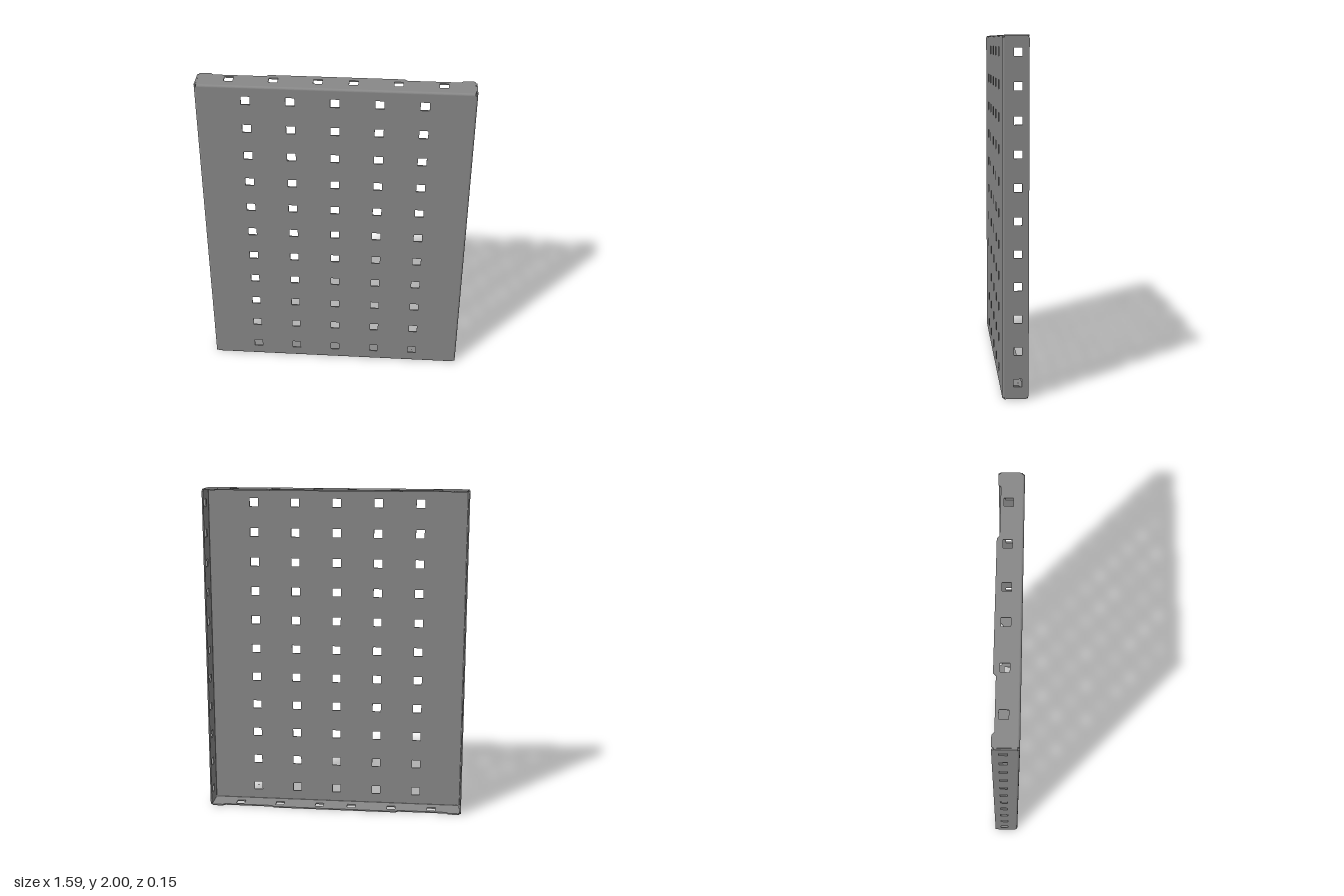
import * as THREE from 'three';

const W = 1.584, H = 2, T = 0.008, R = 0.013; // panel size, sheet thickness, bend radius
const FRONT = 0.071, DEPTH = 0.146, HOLE_V = 0.086; // front plane, flange depth, hole distance from front
const material = new THREE.MeshStandardMaterial({ color: 0x888888 });

const polygon = (pts) => new THREE.Shape(pts.map(([x, y]) => new THREE.Vector2(x, y)));

function addHole(shape, x, y, size) {
  const a = size / 2;
  shape.holes.push(new THREE.Path([[-a, -a], [-a, a], [a, a], [a, -a]]
    .map(([dx, dy]) => new THREE.Vector2(x + dx, y + dy))));
}

const extrude = (shape, depth) =>
  new THREE.ExtrudeGeometry(shape, { depth, bevelEnabled: false, curveSegments: 6 });

function mesh(geometry, name) {
  const m = new THREE.Mesh(geometry, material);
  m.name = name;
  return m;
}

// Flange outline: u runs along the edge, v runs back from the bend
function flangeShape(half, corner, notches) {
  const d = DEPTH - R, n = d - 0.015;
  const pts = [[-half, 0], [half, 0], [half, d - corner], [half - corner, d]];
  if (notches) {
    pts.push([0.715, d], [0.70, n], [0.40, n], [0.385, d],
      [-0.385, d], [-0.40, n], [-0.70, n], [-0.715, d]);
  }
  pts.push([-half + corner, d], [-half, d - corner]);
  return polygon(pts);
}

// Rounded bend and flange along one edge; local +y points out of the panel
function foldedEdge(name, length, flange) {
  const edge = new THREE.Group();
  edge.name = name;
  const ring = new THREE.Shape();
  ring.absarc(0, 0, R, 0, Math.PI / 2, false);
  ring.absarc(0, 0, R - T, Math.PI / 2, 0, true);
  const bend = extrude(ring, length);
  bend.applyMatrix4(new THREE.Matrix4().makeBasis(
    new THREE.Vector3(0, 1, 0), new THREE.Vector3(0, 0, 1), new THREE.Vector3(1, 0, 0)));
  bend.translate(-length / 2, 0, 0);
  const plate = extrude(flange, T).rotateX(-Math.PI / 2).translate(0, R - T, 0);
  edge.add(mesh(bend, 'bend'), mesh(plate, 'flange'));
  return edge;
}

export function createModel() {
  const model = new THREE.Group();
  model.name = 'perforatedPanel';
  const panel = new THREE.Group();
  panel.name = 'panel';
  panel.position.set(-0.002, H / 2, FRONT);
  model.add(panel);

  // Front sheet with its grid of square holes
  const rows = Array.from({ length: 11 }, (_, i) => (i - 5) * 0.1818);
  const w = W / 2 - R, h = H / 2 - R;
  const face = polygon([[-w, -h], [w, -h], [w, h], [-w, h]]);
  for (const y of rows)
    for (let c = -2; c <= 2; c++) addHole(face, c * 0.2525, y + 0.002, 0.051);
  panel.add(mesh(extrude(face, T).translate(0, 0, -T), 'frontSheet'));

  // Top and bottom flanges, notched at the back
  for (const s of [1, -1]) {
    const shape = flangeShape(W / 2 - T - 0.001, 0.008, true);
    for (const x of [0.101, 0.354, 0.607])
      for (const m of [1, -1]) addHole(shape, m * x, HOLE_V - R, 0.051);
    const edge = foldedEdge(s > 0 ? 'topEdge' : 'bottomEdge', 2 * w, shape);
    edge.rotation.z = s > 0 ? 0 : Math.PI;
    edge.position.set(0, s * h, -R);
    panel.add(edge);
  }

  // Side flanges with a column of holes
  for (const s of [1, -1]) {
    const shape = flangeShape(H / 2 - 0.002, 0.014, false);
    for (const y of rows) addHole(shape, y - s * 0.002, HOLE_V - R, 0.045);
    const edge = foldedEdge(s > 0 ? 'leftEdge' : 'rightEdge', 2 * h, shape);
    edge.rotation.z = -s * Math.PI / 2;
    edge.position.set(s * w, 0, -R);
    panel.add(edge);
  }

  // Tiny locating points at one front hole and one side hole
  for (const p of [[0.503, 0.095, 0.073], [0.792, 0.095, -0.016]]) {
    const point = mesh(new THREE.BoxGeometry(0.004, 0.004, 0.004), 'locatingPoint');
    point.position.set(...p);
    model.add(point);
  }
  return model;
}
